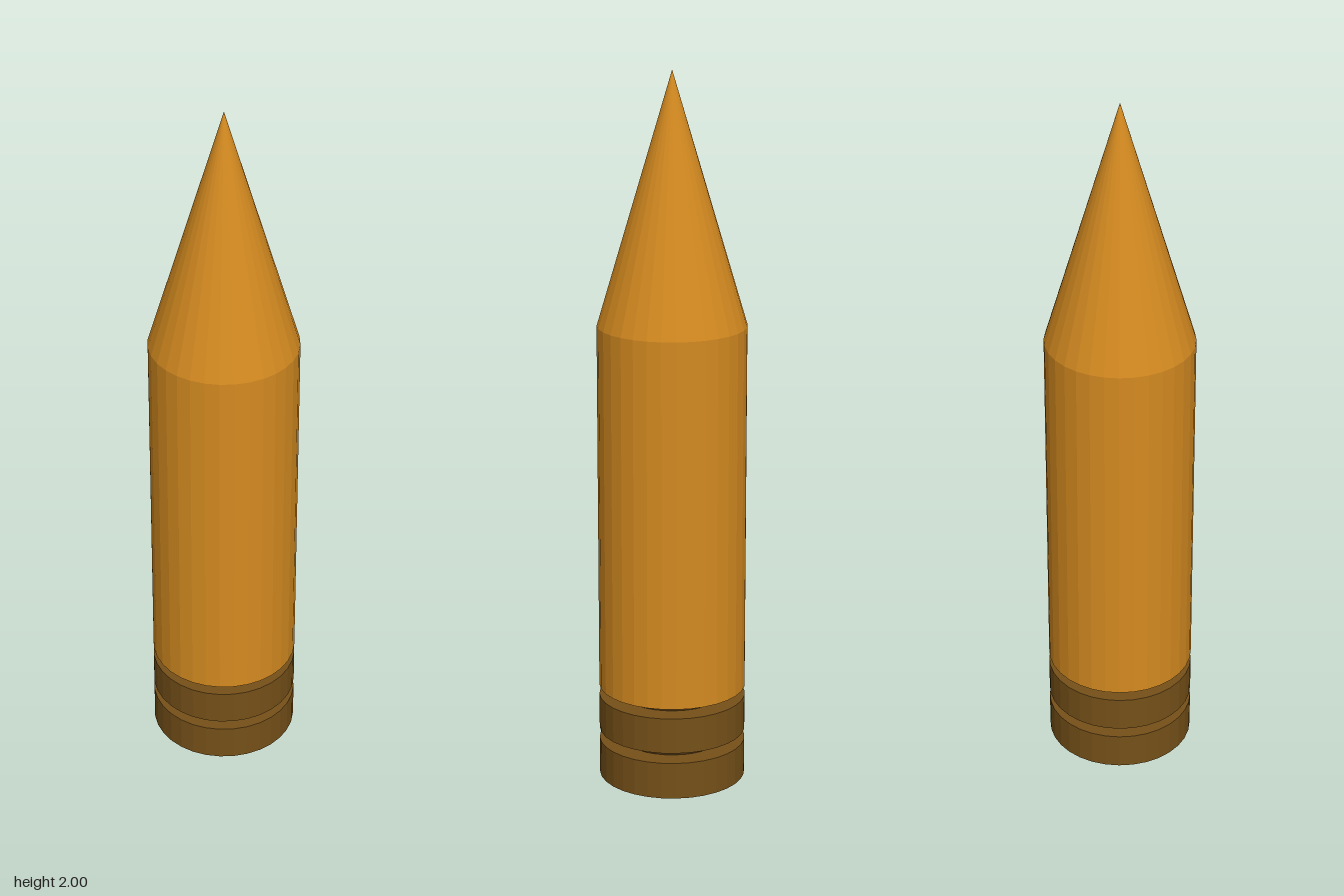
import * as THREE from 'three';

const SIDES = 32;
const R = 0.206;
const NECK_R = 0.145;

export function createModel() {
  const model = new THREE.Group();
  model.name = 'pointedCartridge';

  const paint = (color) => new THREE.MeshStandardMaterial({ color, flatShading: true });
  const orange = paint(0xd48a20);
  const brown = paint(0x755018);
  const darkBrown = paint(0x4a3212);

  // Upright round section between two heights
  const section = (name, rTop, rBottom, y0, y1, material) => {
    const geometry = new THREE.CylinderGeometry(rTop, rBottom, y1 - y0, SIDES);
    const mesh = new THREE.Mesh(geometry, material);
    mesh.name = name;
    mesh.position.y = (y0 + y1) / 2;
    model.add(mesh);
  };

  // Base rings separated by recessed necks
  section('baseRing', R, R, 0, 0.105, brown);
  section('lowerNeck', NECK_R, NECK_R, 0.105, 0.135, darkBrown);
  section('upperRing', R, R, 0.135, 0.237, brown);
  section('upperNeck', NECK_R, NECK_R, 0.237, 0.265, darkBrown);

  // Long body and pointed nose
  section('body', R, R, 0.265, 1.305, orange);
  section('nose', 0, R, 1.305, 2, orange);

  return model;
}
